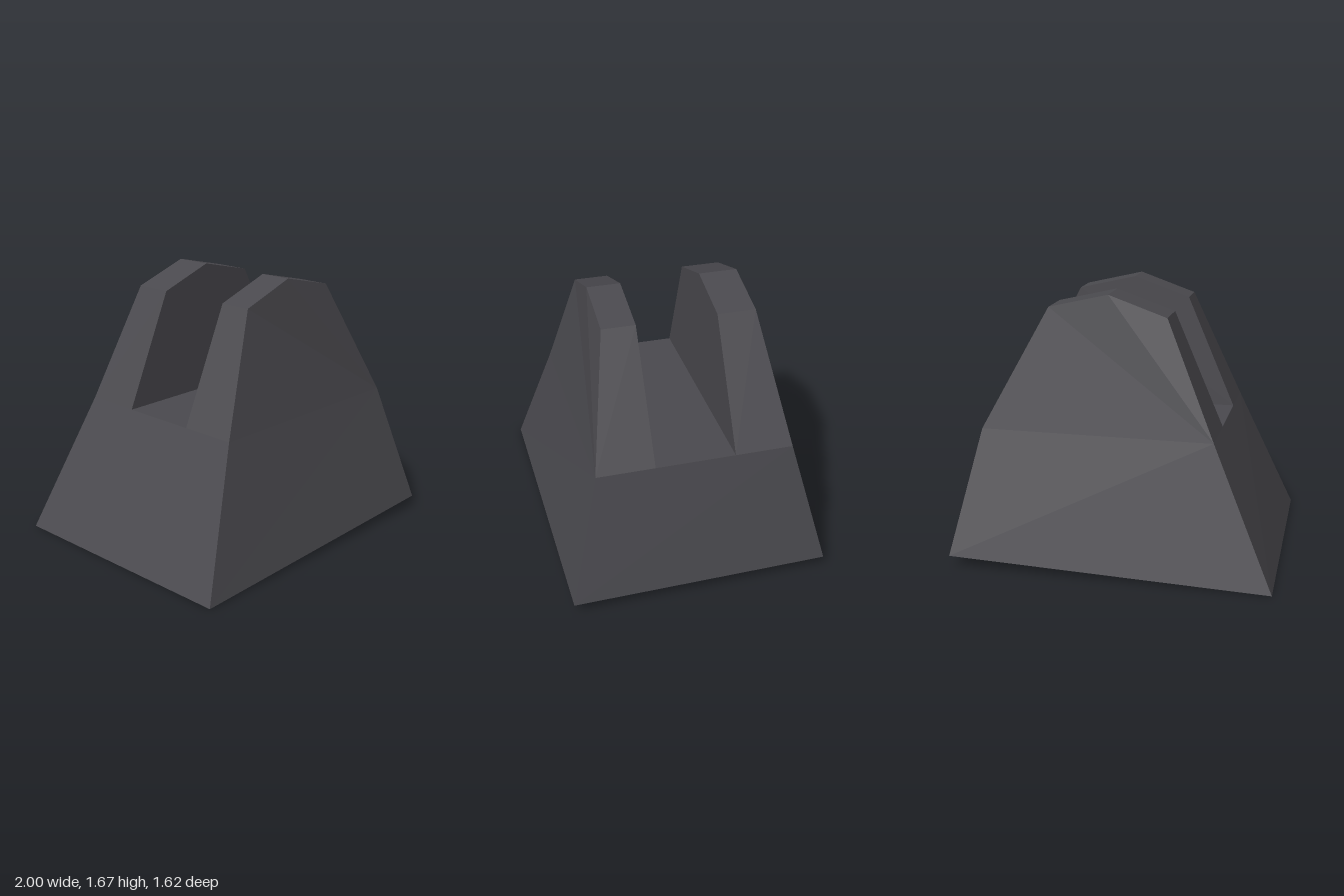
import * as THREE from 'three';

// Flat-faced mesh from convex polygons, each listed counter-clockwise from outside
function facetMesh(name, faces, material) {
  const pos = [];
  for (const f of faces)
    for (let i = 1; i < f.length - 1; i++) pos.push(...f[0], ...f[i], ...f[i + 1]);
  const g = new THREE.BufferGeometry();
  g.setAttribute('position', new THREE.Float32BufferAttribute(pos, 3));
  g.computeVertexNormals();
  const mesh = new THREE.Mesh(g, material);
  mesh.name = name;
  return mesh;
}

// Faces that join two loops, the first one nearer +z
const strip = (a, b) => a.slice(1).map((_, k) => [a[k], b[k], b[k + 1], a[k + 1]]);

export function createModel() {
  const group = new THREE.Group();
  group.name = 'notchedBlock';
  const stone = new THREE.MeshStandardMaterial({ color: 0x4a494e, flatShading: true });
  stone.name = 'dark grey';

  // Arched cheek outline: right foot, right shoulder, peak, left shoulder, left foot
  const arch = (zs, xs = [0.805, 0.41, 0.045, -0.31, -0.615]) => {
    const ys = [0.845, 1.585, 1.67, 1.545, 0.84];
    return xs.map((x, i) => [x, ys[i], zs[i]]);
  };
  const frontOuter = arch([0.59, 0.45, 0.455, 0.46, 0.605]);
  const frontInner = arch([0.232, 0.245, 0.25, 0.255, 0.25]);
  const backInner = arch([-0.258, -0.245, -0.24, -0.235, -0.24]);
  const backOuter = arch([-0.615, -0.48, -0.477, -0.475, -0.6]);

  // Tapered lower block with a slightly sloping underside
  const fl = [-0.98, 0, 0.81], fr = [1, 0.07, 0.785];
  const br = [0.98, 0.07, -0.81], bl = [-1, 0, -0.79];
  const [fR, fL, bR, bL] = [frontOuter[0], frontOuter[4], backOuter[0], backOuter[4]];
  group.add(facetMesh('base', [
    [fl, fr, fR, fL],
    [fr, br, bR, fR],
    [br, bl, bL, bR],
    [bl, fl, fL, bL],
    [fl, bl, br, fr],
    [frontInner[4], frontInner[0], backInner[0], backInner[4]], // notch floor
  ], stone));

  // Two upright cheeks either side of the notch
  for (const [name, near, far] of [
    ['frontCheek', frontOuter, frontInner],
    ['backCheek', backInner, backOuter],
  ])
    group.add(facetMesh(name, [near, [...far].reverse(), ...strip(near, far)], stone));

  return group;
}
